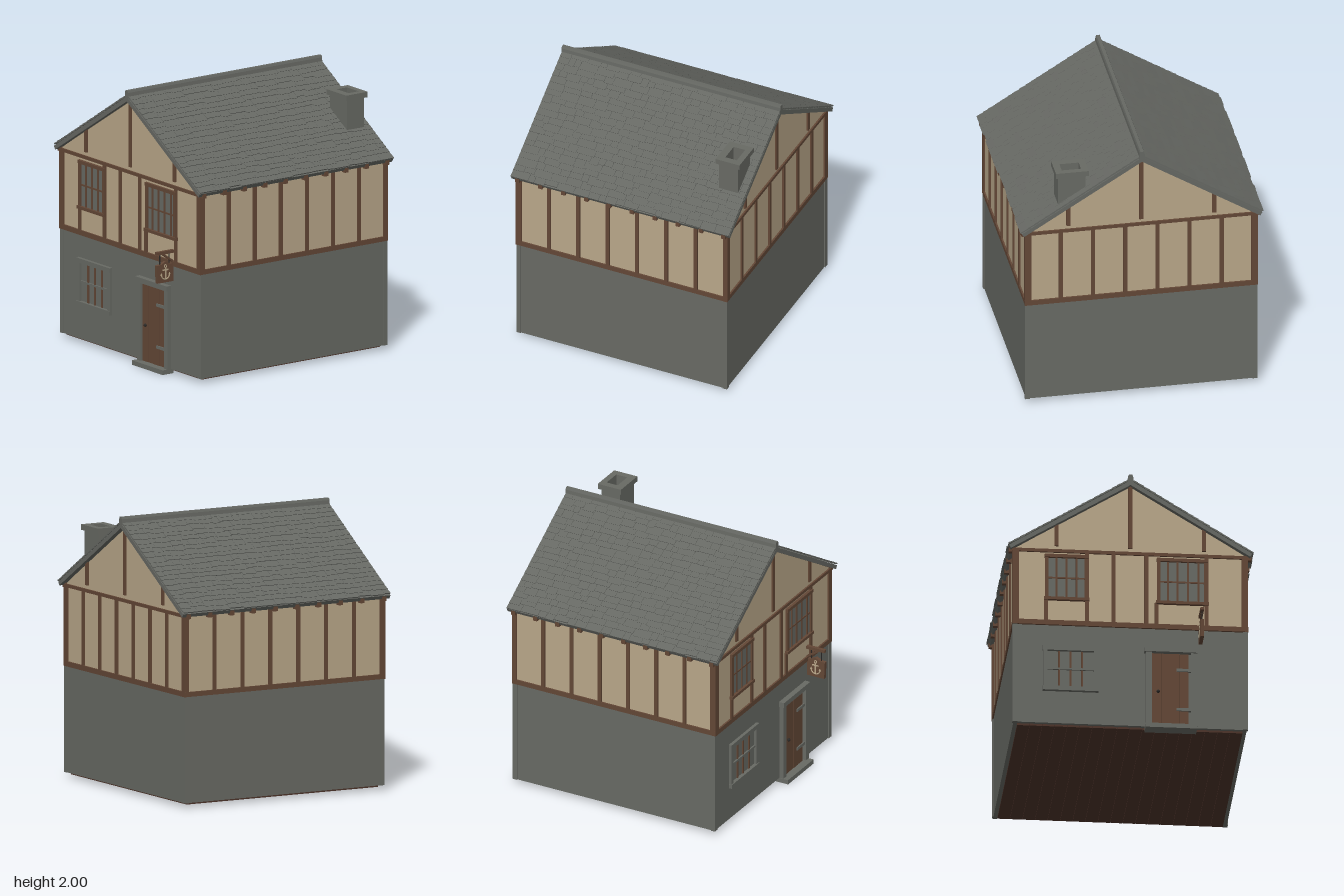
import * as THREE from 'three';
import { mergeGeometries } from 'three/addons/utils/BufferGeometryUtils.js';

export function createModel() {
  const house = new THREE.Group();
  house.name = 'timberFramedHouse';
  const material = (name, color) => {
    const m = new THREE.MeshStandardMaterial({ color });
    m.name = name;
    return m;
  };
  const stone = material('stone', 0x686a64);
  const slate = material('slate', 0x666863);
  const plaster = material('plaster', 0xb9a789);
  const timber = material('timber', 0x634736);
  const floorWood = material('floorWood', 0x4d342a);
  const iron = material('iron', 0x2c2a28);

  const add = (name, geometry, mat, parent = house) => {
    const mesh = new THREE.Mesh(geometry, mat);
    mesh.name = name;
    parent.add(mesh);
    return mesh;
  };
  // Box from its limits on each axis
  const box = (name, mat, x0, x1, y0, y1, z0, z1, parent = house) =>
    add(name, new THREE.BoxGeometry(x1 - x0, y1 - y0, z1 - z0)
      .translate((x0 + x1) / 2, (y0 + y1) / 2, (z0 + z1) / 2), mat, parent);
  const group = (name) => {
    const g = new THREE.Group();
    g.name = name;
    house.add(g);
    return g;
  };
  const polygon = (points) => new THREE.Shape(points.map(([x, y]) => new THREE.Vector2(x, y)));
  const prism = (points, z0, z1) =>
    new THREE.ExtrudeGeometry(polygon(points), { depth: z1 - z0, bevelEnabled: false }).translate(0, 0, z0);
  let seed = 7;
  const random = () => (seed = (seed * 16807) % 2147483647) / 2147483647;

  // Stone ground floor with corner piers
  box('groundFloorWall', stone, -0.838, 0.838, 0.035, 0.81, -0.878, 0.768);
  for (const s of [-1, 1]) {
    for (const [z0, z1] of [[0.745, 0.776], [-0.886, -0.852]]) {
      box('cornerPier', stone, s * 0.828 - 0.018, s * 0.828 + 0.018, 0.035, 0.81, z0, z1);
    }
  }

  // Floor planks under the house
  const floor = group('floor');
  for (let i = 0; i < 18; i++) {
    const x = -0.81 + i * 0.09;
    box('floorPlank', floorWood, x + 0.001, x + 0.089, 0.02, 0.036, -0.85, 0.742, floor);
  }

  // Plastered upper floor and gables
  add('upperWall', prism([[-0.835, 0.81], [0.835, 0.81], [0.835, 1.4], [0, 1.93], [-0.835, 1.4]],
    -0.877, 0.77), plaster);

  // Timber frame
  const frame = group('timberFrame');
  const front = [0.76, 0.783], back = [-0.89, -0.87];
  for (const [z0, z1] of [front, back]) {
    box('sillBeam', timber, -0.848, 0.848, 0.805, 0.842, z0, z1, frame);
    box('topBeam', timber, -0.85, 0.85, 1.378, 1.402, z0, z1, frame);
    box('gableKingPost', timber, -0.015, 0.015, 1.43, 1.94, z0, z1, frame);
    for (const s of [-1, 1]) {
      box('gablePost', timber, s * 0.53 - 0.015, s * 0.53 + 0.015, 1.43, 1.62, z0, z1, frame);
      box('cornerPost', timber, s * 0.824 - 0.023, s * 0.824 + 0.023, 0.81, 1.4, z0, z1, frame);
    }
  }
  for (const [x, top] of [[-0.605, 1.01], [-0.31, 1.38], [-0.12, 1.38], [0.115, 1.38], [0.19, 1.01], [0.547, 1.38]]) {
    box('frontPost', timber, x - 0.014, x + 0.014, 0.84, top, ...front, frame);
  }
  for (let i = 1; i < 7; i++) {
    const x = -0.82 + i * 1.64 / 7;
    box('backPost', timber, x - 0.014, x + 0.014, 0.84, 1.38, ...back, frame);
  }
  for (const s of [-1, 1]) {
    const side = (name, y0, y1, z0, z1, xi = 0.825, xo = 0.847) =>
      box(name, timber, Math.min(s * xi, s * xo), Math.max(s * xi, s * xo), y0, y1, z0, z1, frame);
    side('sideSillBeam', 0.805, 0.84, -0.89, 0.783);
    side('sideCornerPost', 0.81, 1.4, 0.738, 0.783);
    side('sideCornerPost', 0.81, 1.4, -0.89, -0.855);
    for (let i = 1; i < 7; i++) {
      const z = 0.755 - i * 0.232;
      side('sidePost', 0.84, 1.4, z - 0.014, z + 0.014);
    }
    for (let i = 0; i < 10; i++) {
      const z = 0.76 - i * 0.181;
      side('rafterTail', 1.372, 1.412, z - 0.016, z + 0.016, 0.82, 0.872);
    }
  }

  // Roof deck
  add('roofDeck', prism([[0, 1.955], [-0.875, 1.412], [-0.86, 1.387], [0, 1.918], [0.86, 1.387], [0.875, 1.412]],
    -0.918, 0.808), slate);

  // Irregular slates in overlapping courses on both slopes
  const pitch = Math.atan2(0.545, 0.877);
  for (const s of [1, -1]) {
    const slates = [];
    for (let row = 0; row < 20; row++) {
      const end = 0.052 + row * 0.0516;
      for (let z = -0.863; z < 0.862;) {
        let w = 0.045 + random() * 0.1;
        if (z + w > 0.82) w = 0.863 - z;
        const u = Math.min(end + (random() - 0.5) * 0.02, 1.036);
        const length = Math.min(0.085, u);
        slates.push(new THREE.BoxGeometry(length, 0.009, w - 0.002)
          .rotateZ(0.05 + random() * 0.04)
          .translate(u - length / 2, 0.008, z + w / 2)
          .rotateZ(-pitch)
          .rotateY(s > 0 ? 0 : Math.PI)
          .translate(0, 1.957, -0.055));
        z += w;
      }
    }
    add(s > 0 ? 'leftRoofSlates' : 'rightRoofSlates', mergeGeometries(slates), slate);
  }
  add('ridgeCap', prism([[-0.022, 1.945], [0.022, 1.945], [0.018, 1.985], [0.012, 2], [-0.012, 2], [-0.018, 1.985]],
    -0.92, 0.81), slate);

  // Hollow chimney with a projecting cap
  const chimney = group('chimney');
  const ring = (name, x0, x1, z0, z1, y0, y1) => {
    const shape = polygon([[x0, -z1], [x1, -z1], [x1, -z0], [x0, -z0]]);
    shape.holes.push(polygon([[0.43, 0.745], [0.43, 0.835], [0.57, 0.835], [0.57, 0.745]]));
    add(name, new THREE.ExtrudeGeometry(shape, { depth: y1 - y0, bevelEnabled: false })
      .rotateX(-Math.PI / 2).translate(0, y0, 0), stone, chimney);
  };
  ring('chimneyStack', 0.4, 0.602, -0.86, -0.708, 1.52, 1.82);
  ring('chimneyCap', 0.38, 0.62, -0.88, -0.69, 1.82, 1.86);
  box('flueLining', timber, 0.43, 0.49, 1.62, 1.73, -0.8, -0.745, chimney);

  // Windows of the upper floor
  const upperWindow = (name, x0, x1, bars) => {
    const g = group(name);
    box('pane', stone, x0, x1, 1.01, 1.35, 0.765, 0.774, g);
    box('windowSill', timber, x0 - 0.01, x1 + 0.01, 1.0, 1.022, 0.765, 0.795, g);
    box('windowHead', timber, x0 - 0.005, x1 + 0.005, 1.335, 1.36, 0.765, 0.792, g);
    for (const x of [x0 + 0.01, x1 - 0.01]) box('windowJamb', timber, x - 0.013, x + 0.013, 1.01, 1.35, 0.765, 0.787, g);
    for (const x of bars) box('windowBar', timber, x - 0.007, x + 0.007, 1.02, 1.335, 0.765, 0.781, g);
    box('crossBar', timber, x0, x1, 1.172, 1.184, 0.765, 0.779, g);
  };
  upperWindow('upperRightWindow', -0.61, -0.305, [-0.53, -0.457, -0.385]);
  upperWindow('upperLeftWindow', 0.195, 0.553, [0.27, 0.34, 0.415, 0.49]);

  // Stone-framed ground floor window
  const lower = group('groundFloorWindow');
  box('stoneHead', stone, -0.63, -0.228, 0.602, 0.636, 0.76, 0.792, lower);
  box('stoneSill', stone, -0.63, -0.228, 0.286, 0.318, 0.76, 0.795, lower);
  for (const x of [-0.61, -0.245]) box('stoneJamb', stone, x - 0.016, x + 0.016, 0.318, 0.602, 0.76, 0.788, lower);
  for (const x of [-0.51, -0.428, -0.345]) box('woodBar', timber, x - 0.007, x + 0.007, 0.318, 0.602, 0.76, 0.776, lower);
  box('stoneCrossBar', stone, -0.6, -0.26, 0.455, 0.47, 0.76, 0.78, lower);

  // Plank door, stone surround and step
  const door = group('door');
  box('doorStep', stone, 0.105, 0.475, 0, 0.034, 0.742, 0.84, door);
  box('doorLintel', stone, 0.1, 0.48, 0.612, 0.65, 0.76, 0.81, door);
  for (const x of [0.133, 0.458]) box('doorJamb', stone, x - 0.022, x + 0.022, 0.034, 0.612, 0.76, 0.8, door);
  const edges = [0.157, 0.223, 0.29, 0.356, 0.422];
  for (let i = 0; i < 4; i++) {
    box('doorPlank', timber, edges[i], edges[i + 1] - 0.003, 0.034, 0.608, 0.76, i % 2 ? 0.781 : 0.783, door);
  }
  for (const y of [0.17, 0.48]) box('strapHinge', stone, 0.33, 0.436, y - 0.011, y + 0.011, 0.765, 0.79, door);
  add('doorKnob', new THREE.SphereGeometry(0.012, 10, 8).translate(0.2, 0.305, 0.792), iron, door);

  // Hanging sign on a bracket
  const sign = group('hangingSign');
  const cx = 0.505, cz = 0.847;
  box('signBracket', timber, cx - 0.013, cx + 0.013, 0.903, 0.925, 0.77, 0.92, sign);
  const brace = box('signBrace', timber, -0.008, 0.008, -0.007, 0.007, -0.055, 0.055, sign);
  brace.position.set(cx, 0.872, 0.82);
  brace.rotation.x = -0.6;
  for (const z of [0.805, 0.888]) box('signChain', iron, cx - 0.003, cx + 0.003, 0.825, 0.905, z - 0.003, z + 0.003, sign);
  add('signBoard', prism([[0.775, 0.695], [0.917, 0.695], [0.923, 0.826], [0.885, 0.83], [cz, 0.848], [0.81, 0.83], [0.775, 0.826]],
    -0.013, 0.013).rotateY(-Math.PI / 2).translate(cx, 0, 0), timber, sign);

  // Anchor emblem, showing on both faces of the board
  const ax0 = cx - 0.016, ax1 = cx + 0.016;
  box('anchorShank', plaster, ax0, ax1, 0.718, 0.805, cz - 0.005, cz + 0.005, sign);
  box('anchorStock', plaster, ax0, ax1, 0.783, 0.793, cz - 0.026, cz + 0.026, sign);
  for (const x of [ax0 + 0.003, ax1 - 0.003]) {
    add('anchorRing', new THREE.TorusGeometry(0.01, 0.004, 6, 14).rotateY(Math.PI / 2).translate(x, 0.815, cz), plaster, sign);
    add('anchorArms', new THREE.TorusGeometry(0.036, 0.005, 6, 16, Math.PI).rotateZ(Math.PI)
      .rotateY(Math.PI / 2).translate(x, 0.755, cz), plaster, sign);
    for (const s of [-1, 1]) {
      add('anchorFluke', new THREE.ConeGeometry(0.011, 0.02, 4).scale(1, 1, 1)
        .scale(0.4, 1, 1).translate(x, 0.76, cz + s * 0.036), plaster, sign);
    }
  }
  return house;
}
